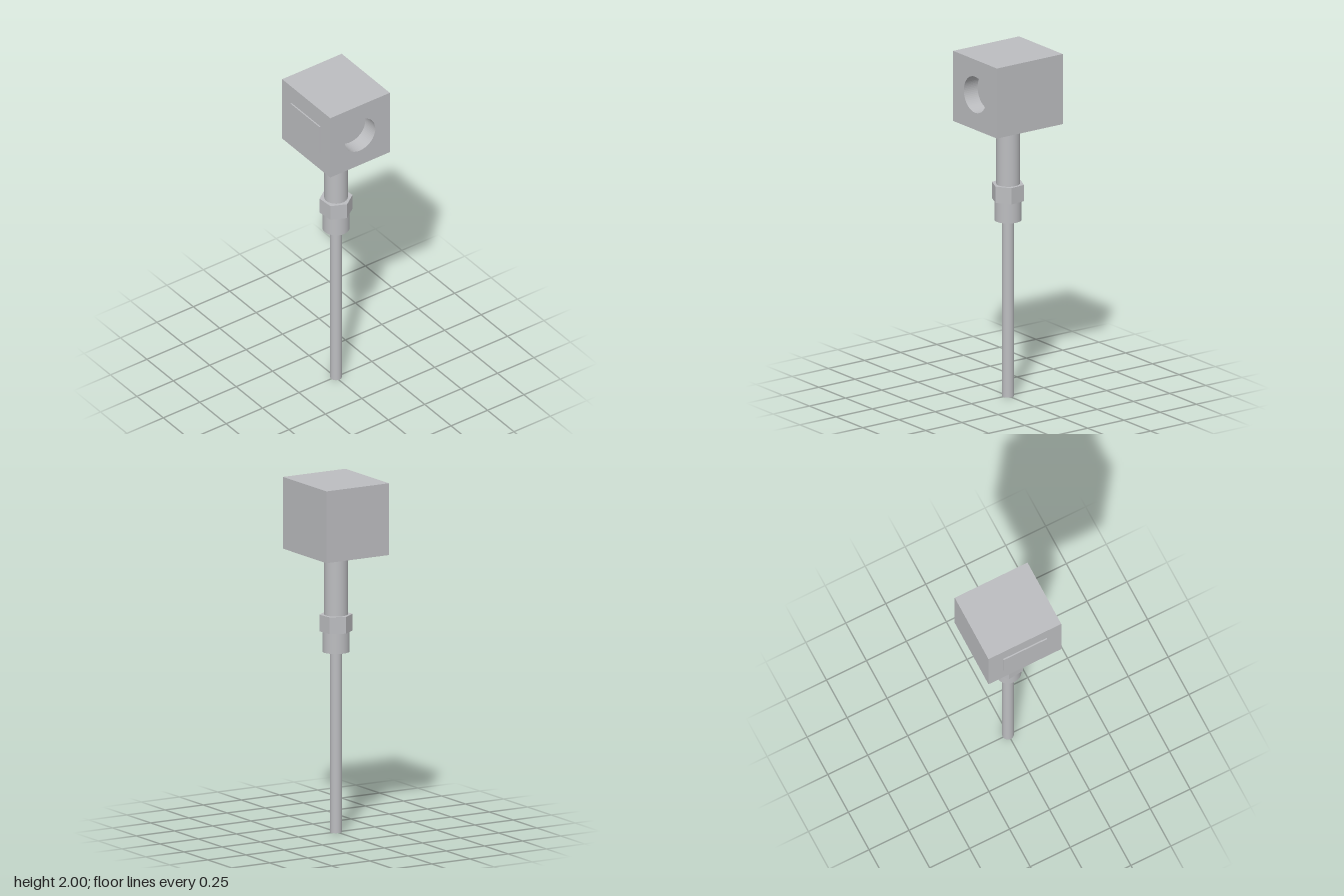
import * as THREE from 'three';

const CENTRE_Z = -0.004;

export function createModel() {
  const group = new THREE.Group();
  const steel = new THREE.MeshStandardMaterial({ color: 0xbcbdc0 });
  steel.name = 'light grey steel';

  const add = (name, geometry, x, y, z = CENTRE_Z) => {
    const mesh = new THREE.Mesh(geometry, steel);
    mesh.name = name;
    mesh.position.set(x, y, z);
    group.add(mesh);
  };

  // Upright round section between two heights
  const round = (name, radius, y0, y1) =>
    add(name, new THREE.CylinderGeometry(radius, radius, y1 - y0, 32), 0, (y0 + y1) / 2);

  // Housing: a solid block plus a slab pierced by the cable entry
  const width = 0.455, height = 0.408, depth = 0.409, bore = 0.095;
  const midY = 2 - height / 2;
  add('housingBody', new THREE.BoxGeometry(width - bore, height, depth), -bore / 2, midY);

  const side = new THREE.Shape();
  side.moveTo(-depth / 2, -height / 2);
  side.lineTo(depth / 2, -height / 2);
  side.lineTo(depth / 2, height / 2);
  side.lineTo(-depth / 2, height / 2);
  side.closePath();
  const entry = new THREE.Path();
  entry.absarc(0, 0, 0.105, 0, Math.PI * 2, true);
  side.holes.push(entry);
  const slab = new THREE.ExtrudeGeometry(side, { depth: bore, bevelEnabled: false, curveSegments: 32 });
  slab.rotateY(Math.PI / 2);
  add('cableEntrySide', slab, width / 2 - bore, midY);

  // Thin blank plate on the front
  add('frontPlate', new THREE.BoxGeometry(0.273, 0.182, 0.008), 0, 1.798, 0.2045);

  // Neck, fitting and probe
  round('neckTube', 0.066, 1.238, 2 - height);
  round('collar', 0.076, 1.027, 1.143);
  round('probeRod', 0.033, 0, 1.027);

  // Hexagonal nut, slightly turned, with flat sides
  const hex = new THREE.CylinderGeometry(0.0935, 0.0935, 0.095, 6, 1, false,
    THREE.MathUtils.degToRad(35.4)).toNonIndexed();
  hex.computeVertexNormals();
  add('hexNut', hex, 0, 1.1905);

  return group;
}
